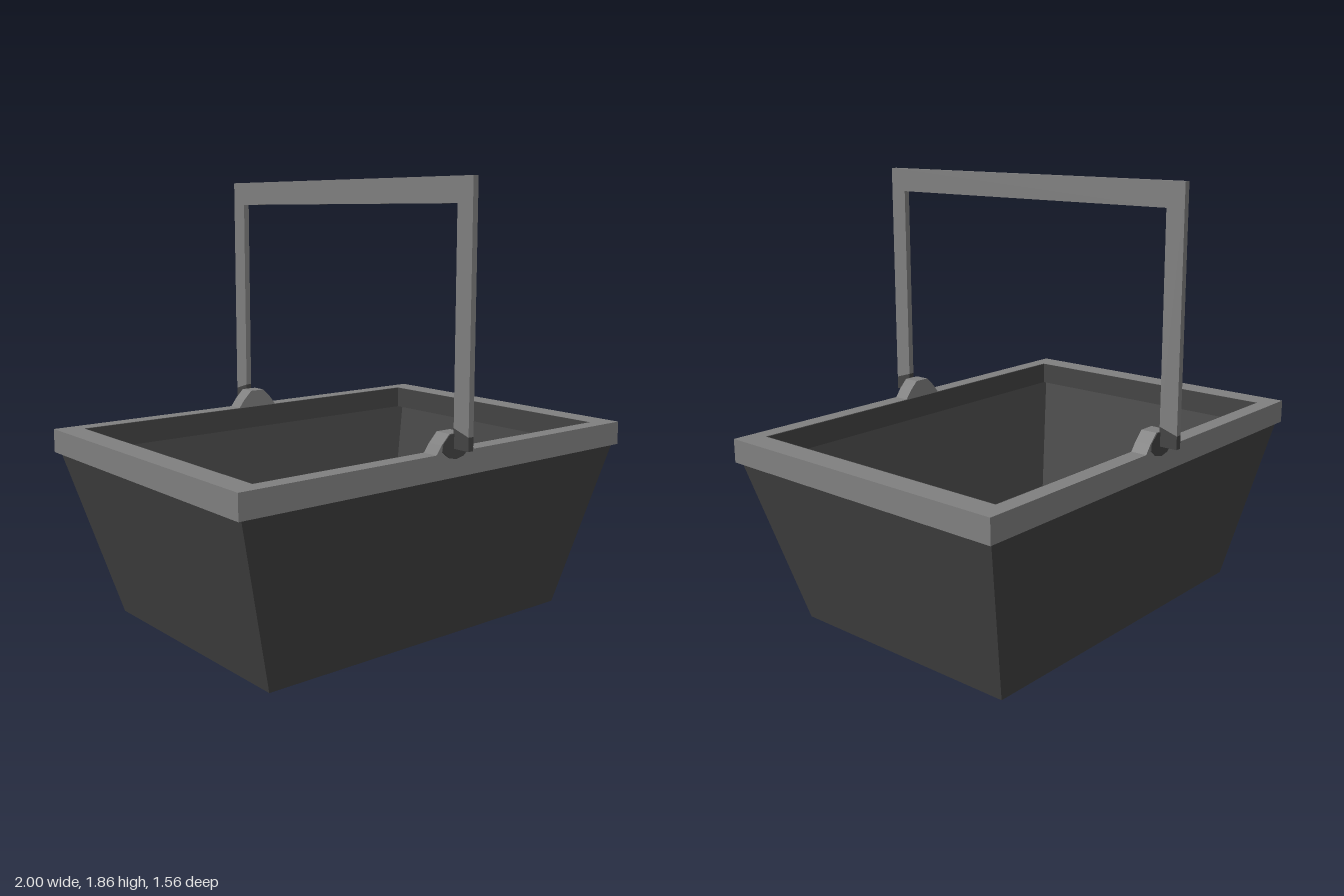
import * as THREE from 'three';

const grey = new THREE.MeshStandardMaterial({ color: 0x808080 });
grey.name = 'light grey';
const dark = new THREE.MeshStandardMaterial({ color: 0x444444 });
dark.name = 'dark grey';

function addMesh(parent, name, geometry, material) {
  const mesh = new THREE.Mesh(geometry, material);
  mesh.name = name;
  parent.add(mesh);
  return mesh;
}

function outline(points) {
  return new THREE.Shape(points.map(([x, y]) => new THREE.Vector2(x, y)));
}

function rectangle(hx, hy) {
  return [[-hx, -hy], [hx, -hy], [hx, hy], [-hx, hy]];
}

function extrude(shape, depth) {
  return new THREE.ExtrudeGeometry(shape, { depth, bevelEnabled: false });
}

// Joins rectangular rings [halfX, halfZ, y] with flat-shaded walls
function loftRings(rings) {
  const corners = [[1, 1], [1, -1], [-1, -1], [-1, 1]];
  const positions = [];
  for (let i = 0; i < rings.length - 1; i++) {
    for (let k = 0; k < 4; k++) {
      const at = (ring, c) => [ring[0] * c[0], ring[2], ring[1] * c[1]];
      const a = corners[k], b = corners[(k + 1) % 4];
      const ta = at(rings[i], a), tb = at(rings[i], b);
      const ba = at(rings[i + 1], a), bb = at(rings[i + 1], b);
      positions.push(...ba, ...bb, ...tb, ...ba, ...tb, ...ta);
    }
  }
  const geometry = new THREE.BufferGeometry();
  geometry.setAttribute('position', new THREE.Float32BufferAttribute(positions, 3));
  geometry.computeVertexNormals();
  return geometry;
}

// Extrudes a z-y outline across the thickness of the handle
function handlePiece(points) {
  const t = 0.026;
  return extrude(outline(points), t).rotateY(-Math.PI / 2).translate(t / 2, 0, 0);
}

export function createModel() {
  const basket = new THREE.Group();
  basket.name = 'basket';

  // Tapered tub: outer walls, underside, floor and inner walls
  addMesh(basket, 'tub', loftRings([
    [0.98, 0.685, 0.72], [0.775, 0.545, 0], [0, 0, 0],
  ]), dark);
  addMesh(basket, 'tubInside', loftRings([
    [0, 0, 0.02], [0.76, 0.53, 0.02], [0.965, 0.67, 0.72],
  ]), dark);

  // Flat rim with a dark inner lining
  const rimShape = outline(rectangle(1, 0.7));
  rimShape.holes.push(new THREE.Path(outline(rectangle(0.895, 0.63)).getPoints()));
  addMesh(basket, 'rim', extrude(rimShape, 0.1).rotateX(-Math.PI / 2).translate(0, 0.715, 0), grey);
  for (const s of [-1, 1]) {
    addMesh(basket, 'rimLiningSide', new THREE.BoxGeometry(0.005, 0.098, 1.26), dark)
      .position.set(s * 0.8925, 0.765, 0);
    addMesh(basket, 'rimLiningEnd', new THREE.BoxGeometry(1.79, 0.098, 0.005), dark)
      .position.set(0, 0.765, s * 0.6275);
  }

  // Square handle; the legs end on a slanted cut
  addMesh(basket, 'handle', handlePiece([
    [-0.78, 0.885], [-0.70, 0.91], [-0.70, 1.755], [0.70, 1.755],
    [0.70, 0.91], [0.78, 0.885], [0.78, 1.855], [-0.78, 1.855],
  ]), grey);

  // Hinges at the front and back
  const lug = outline([
    [-0.105, 0.81], [-0.075, 0.85], [-0.035, 0.89],
    [0.035, 0.89], [0.075, 0.85], [0.105, 0.81],
  ].reverse());
  const disc = outline([
    [-0.035, 0.888], [-0.07, 0.855], [-0.073, 0.825], [-0.04, 0.797],
    [0, 0.788], [0.04, 0.797], [0.073, 0.825], [0.07, 0.855], [0.035, 0.888],
  ]);
  for (const turn of [0, Math.PI]) {
    const hinge = new THREE.Group();
    hinge.name = turn ? 'backHinge' : 'frontHinge';
    hinge.rotation.y = turn;
    addMesh(hinge, 'lug', extrude(lug, 0.07).translate(0, 0, 0.63), grey);
    addMesh(hinge, 'pivotDisc', extrude(disc, 0.004).translate(0, 0, 0.7), dark);
    addMesh(hinge, 'handleTip', handlePiece([
      [0.70, 0.83], [0.78, 0.83], [0.78, 0.885], [0.70, 0.91],
    ]), dark);
    basket.add(hinge);
  }
  return basket;
}
